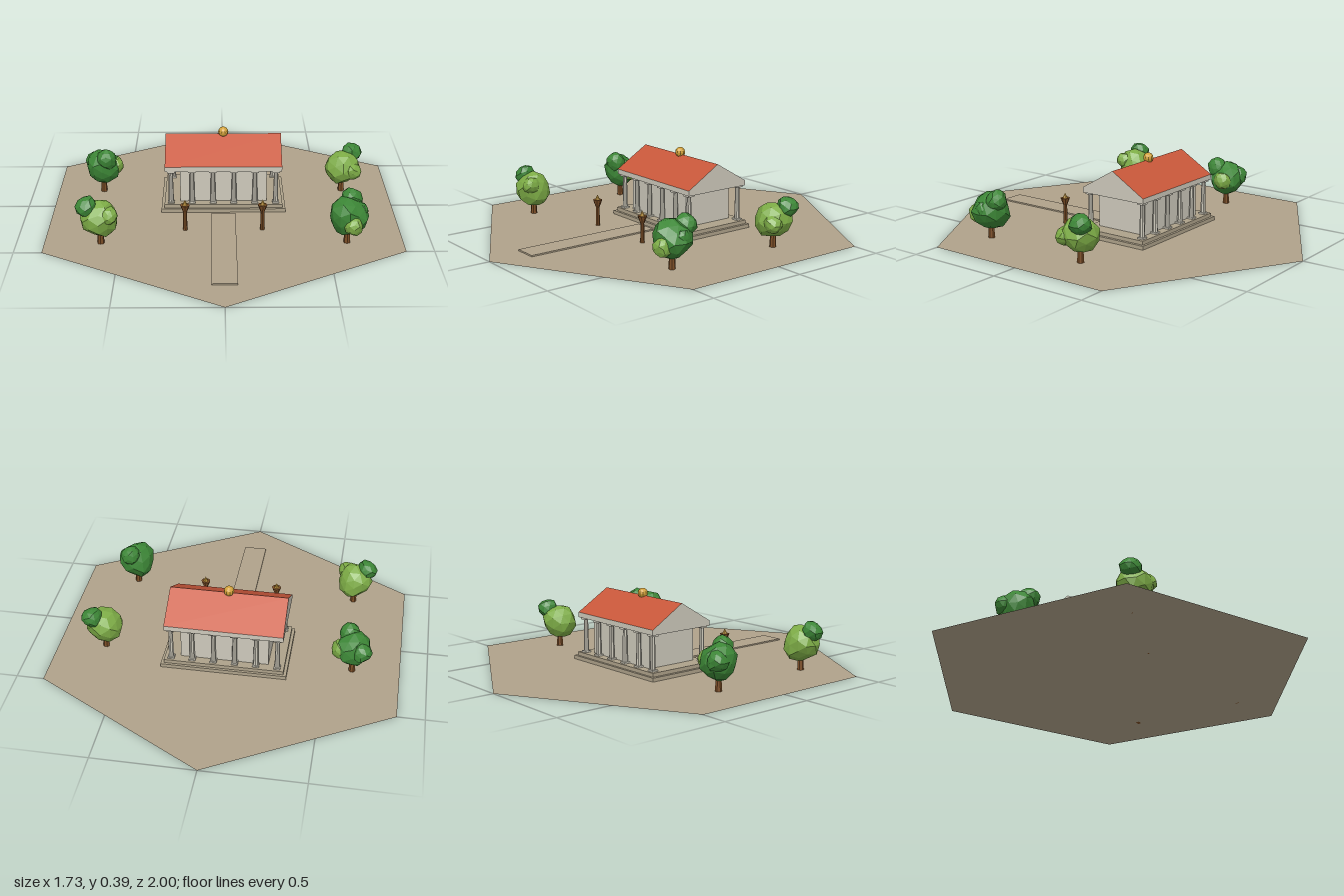
import * as THREE from 'three';

const mat = (name, color, extra = {}) => {
  const m = new THREE.MeshStandardMaterial({ color, ...extra });
  m.name = name;
  return m;
};

export function createModel() {
  const root = new THREE.Group();
  root.name = 'templeScene';

  const ground = mat('sandGround', 0xb0a28a, { side: THREE.DoubleSide });
  const stone = mat('paleStone', 0xcdc9bb, { flatShading: true });
  const step = mat('stepStone', 0xaea28a);
  const tile = mat('redTile', 0xc8573a);
  const gold = mat('gold', 0xd0a038, { flatShading: true });
  const wood = mat('brownWood', 0x7c4e26, { flatShading: true });
  const dark = mat('darkLeaf', 0x3c8636, { flatShading: true });
  const light = mat('lightLeaf', 0x7dac46, { flatShading: true });

  const add = (parent, name, geo, material, x = 0, y = 0, z = 0) => {
    const m = new THREE.Mesh(geo, material);
    m.name = name;
    m.position.set(x, y, z);
    parent.add(m);
    return m;
  };
  const group = (name, x, y, z) => {
    const g = new THREE.Group();
    g.name = name;
    g.position.set(x, y, z);
    root.add(g);
    return g;
  };
  // Box given by its bottom height and top height
  const slab = (parent, name, w, y0, y1, d, material, x = 0, z = 0) =>
    add(parent, name, new THREE.BoxGeometry(w, y1 - y0, d), material, x, (y0 + y1) / 2, z);

  // Hexagonal ground and the raised path
  const hex = new THREE.CircleGeometry(1, 6, Math.PI / 6).rotateX(-Math.PI / 2);
  add(root, 'ground', hex, ground);
  slab(root, 'path', 0.12, 0.001, 0.008, 0.71, ground, 0, 0.455);

  // Temple: steps, inner hall, beam
  const temple = group('temple', 0, 0, -0.12);
  slab(temple, 'lowerStep', 0.63, 0.001, 0.02, 0.395, step);
  slab(temple, 'upperStep', 0.6, 0.02, 0.039, 0.37, step);
  slab(temple, 'hall', 0.44, 0.039, 0.22, 0.28, stone);
  slab(temple, 'beam', 0.59, 0.22, 0.246, 0.364, stone);

  // Gabled roof: stone ends, tiled slopes
  const gable = new THREE.Shape([
    new THREE.Vector2(-0.182, 0), new THREE.Vector2(0.182, 0), new THREE.Vector2(0, 0.108),
  ]);
  const roofGeo = new THREE.ExtrudeGeometry(gable, { depth: 0.59, bevelEnabled: false });
  roofGeo.translate(0, 0, -0.295).rotateY(Math.PI / 2);
  add(temple, 'roof', roofGeo, [stone, tile], 0, 0.246, 0);
  add(temple, 'roofBall', new THREE.SphereGeometry(0.026, 10, 8), gold, 0, 0.364, 0);

  // Front and back rows of columns
  const shaft = new THREE.CylinderGeometry(0.0105, 0.0135, 0.163, 8);
  for (const z of [-0.157, 0.157]) {
    for (let i = 0; i < 6; i++) {
      const x = -0.266 + i * 0.1064;
      slab(temple, 'columnBase', 0.033, 0.039, 0.047, 0.033, stone, x, z);
      add(temple, 'columnShaft', shaft, stone, x, 0.1285, z);
      slab(temple, 'columnCapital', 0.037, 0.21, 0.22, 0.037, stone, x, z);
    }
  }

  // Torches beside the path
  for (const x of [-0.19, 0.19]) {
    const torch = group('torch', x, 0, 0.265);
    add(torch, 'torchPost', new THREE.CylinderGeometry(0.009, 0.011, 0.105, 8), wood, 0, 0.0525, 0);
    add(torch, 'torchBowl', new THREE.CylinderGeometry(0.024, 0.011, 0.035, 8), wood, 0, 0.1175, 0);
    add(torch, 'torchFlame', new THREE.ConeGeometry(0.013, 0.028, 8), gold, 0, 0.148, 0);
  }

  // Faceted leaf ball with vertices pushed in and out by a position hash
  const leafBall = (r, seed) => {
    const geo = new THREE.IcosahedronGeometry(r, 1);
    const p = geo.attributes.position;
    const v = new THREE.Vector3();
    for (let i = 0; i < p.count; i++) {
      v.fromBufferAttribute(p, i);
      const q = v.toArray().map((c) => Math.round((c / r) * 100));
      const h = Math.sin(q[0] * 1.27 + q[1] * 3.11 + q[2] * 7.47 + seed * 5.3);
      v.multiplyScalar(1 + 0.08 * h);
      p.setXYZ(i, v.x, v.y, v.z);
    }
    geo.computeVertexNormals();
    return geo;
  };

  // Trees: position, then leaf balls as [material, radius, x, y, z]
  const trees = [
    [-0.63, -0.19, [[dark, 0.088, 0, 0.14, 0], [dark, 0.052, 0.025, 0.2, 0.045],
      [dark, 0.052, -0.04, 0.155, -0.045], [light, 0.048, 0.06, 0.14, -0.015]]],
    [0.625, -0.19, [[light, 0.09, 0, 0.135, 0], [dark, 0.052, 0.05, 0.2, -0.04],
      [light, 0.045, 0.05, 0.13, 0.05]]],
    [-0.593, 0.4, [[light, 0.09, 0, 0.135, 0], [dark, 0.052, -0.06, 0.2, 0.01],
      [light, 0.045, 0.045, 0.165, 0.04]]],
    [0.593, 0.4, [[dark, 0.094, 0, 0.14, 0], [dark, 0.052, 0.022, 0.203, -0.06],
      [light, 0.045, 0.02, 0.12, 0.07], [dark, 0.04, 0.06, 0.16, -0.01]]],
  ];
  trees.forEach(([x, z, balls], t) => {
    const tree = group('tree', x, 0, z);
    add(tree, 'trunk', new THREE.CylinderGeometry(0.012, 0.017, 0.1, 7), wood, 0, 0.05, 0);
    balls.forEach(([m, r, bx, by, bz], i) =>
      add(tree, 'foliage', leafBall(r, t * 4 + i + 1), m, bx, by, bz));
  });

  return root;
}
